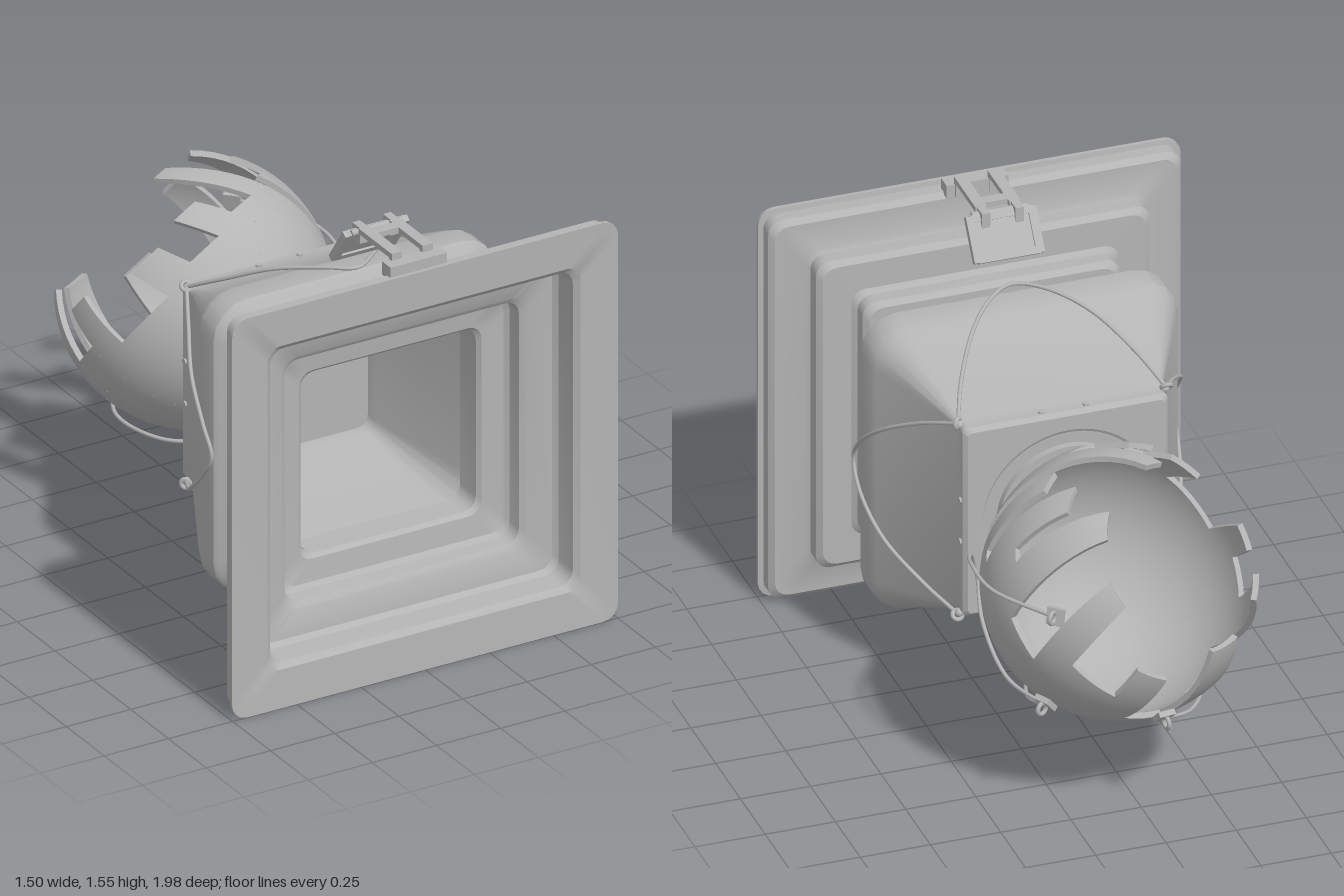
import * as THREE from 'three';
import { toCreasedNormals } from 'three/addons/utils/BufferGeometryUtils.js';

const grey = new THREE.MeshStandardMaterial({ color: 0xb4b4b4 });
grey.name = 'plain grey';
const V = (x, y, z) => new THREE.Vector3(x, y, z);
const rad = THREE.MathUtils.degToRad;

function add(parent, name, geometry, x = 0, y = 0, z = 0) {
  const mesh = new THREE.Mesh(geometry, grey);
  mesh.name = name;
  mesh.position.set(x, y, z);
  parent.add(mesh);
  return mesh;
}
const box = (parent, name, w, h, d, x, y, z) => add(parent, name, new THREE.BoxGeometry(w, h, d), x, y, z);
const wire = (parent, name, points, r = 0.007) =>
  add(parent, name, new THREE.TubeGeometry(new THREE.CatmullRomCurve3(points), 64, r, 8));

// Skin over rounded squares; each section is [half width, z, corner radius]
function loftSquares(sections, steps = 4) {
  const pos = [], index = [], n = 4 * (steps + 1);
  for (const [h, z, r] of sections) {
    for (let c = 0; c < 4; c++) {
      const mid = Math.PI / 4 + c * Math.PI / 2;
      const cx = Math.sign(Math.cos(mid)) * (h - r), cy = Math.sign(Math.sin(mid)) * (h - r);
      for (let s = 0; s <= steps; s++) {
        const a = (c + s / steps) * Math.PI / 2;
        pos.push(cx + r * Math.cos(a), cy + r * Math.sin(a), z);
      }
    }
  }
  for (let i = 0; i < sections.length - 1; i++) {
    for (let j = 0; j < n; j++) {
      const a = i * n + j, b = i * n + (j + 1) % n;
      index.push(a, b, b + n, a, b + n, a + n);
    }
  }
  const g = new THREE.BufferGeometry();
  g.setAttribute('position', new THREE.Float32BufferAttribute(pos, 3));
  g.setIndex(index);
  return toCreasedNormals(g, 0.55);
}

// Broken ball frame: the opening faces AXIS
const AXIS = V(-0.4, 0.62, -0.68).normalize();
const E1 = V(0, 1, 0).addScaledVector(AXIS, -AXIS.y).normalize();
const E2 = AXIS.clone().cross(E1);
const CENTRE = V(0, 0.757, -0.53);

// Curved shell patch between angles round the axis (phi) and from the axis (theta)
function shellPatch(phi0, phi1, theta0, theta1) {
  const nx = Math.max(2, Math.ceil((phi1 - phi0) / 5));
  const ny = Math.max(2, Math.ceil((theta1 - theta0) / 5));
  const g = new THREE.BoxGeometry(1, 1, 1, nx, ny, 1);
  const p = g.attributes.position, original = g.attributes.normal.clone();
  const dirs = [];
  for (let i = 0; i < p.count; i++) {
    const base = phi0 + (p.getX(i) + 0.5) * (phi1 - phi0);
    const theta = theta1 - (p.getY(i) + 0.5) * (theta1 - theta0);
    const swirl = 0.25 + 0.3 * Math.cos(rad(base - 20));
    const phi = rad(base - swirl * (90 - theta)), t = rad(theta);
    const d = AXIS.clone().multiplyScalar(Math.cos(t))
      .addScaledVector(E1, Math.sin(t) * Math.cos(phi))
      .addScaledVector(E2, Math.sin(t) * Math.sin(phi));
    dirs.push(d);
    const r = p.getZ(i) > 0 ? 0.47 : 0.45;
    p.setXYZ(i, d.x * r, d.y * r, d.z * r);
  }
  g.computeVertexNormals();
  dirs.forEach((d, i) => {
    const s = Math.round(original.getZ(i));
    if (s) g.attributes.normal.setXYZ(i, d.x * s, d.y * s, d.z * s);
  });
  return g;
}

function buildBall() {
  const ball = new THREE.Group();
  ball.name = 'brokenBall';
  ball.position.copy(CENTRE);
  add(ball, 'ballBowl', shellPatch(0, 360, 131, 180));
  // [start phi, rim theta]: low values are teeth, high values are notches
  const rim = [[5, 42], [18, 131], [25, 75], [36, 109], [42, 60], [56, 85], [62, 42], [78, 96],
    [98, 45], [112, 80], [135, 62], [150, 95], [170, 48], [190, 98], [218, 48], [236, 80],
    [255, 62], [270, 88], [300, 70], [318, 84], [335, 66], [350, 80], [365, 0]];
  for (let i = 0; i < rim.length - 1; i++) {
    if (rim[i][1] < 131) add(ball, 'ballTooth', shellPatch(rim[i][0], rim[i + 1][0], rim[i][1], 131));
  }
  return ball;
}

// Wire loops lying just off the ball, with a clamp at each end
function buildBallWires() {
  const g = new THREE.Group();
  g.name = 'ballWires';
  const on = ([x, y, z], r) => V(x, y, z).sub(CENTRE).setLength(r).add(CENTRE);
  const loops = [
    [[0.36, 0.87, -0.87], [0.47, 0.86, -0.61], [0.46, 0.845, -0.4], [0.39, 0.775, -0.26], [0.37, 0.68, -0.225],
      [0.4, 0.56, -0.3], [0.38, 0.455, -0.5], [0.33, 0.43, -0.7]],
    [[0.33, 0.43, -0.7], [0.33, 0.39, -0.55], [0.25, 0.36, -0.35], [0.1, 0.34, -0.19], [-0.05, 0.34, -0.19],
      [-0.2, 0.35, -0.35], [-0.26, 0.34, -0.58], [-0.18, 0.34, -0.75], [-0.05, 0.375, -0.88]],
  ];
  for (const l of loops) {
    wire(g, 'ballWire', l.map((q, i) => on(q, 0.49 + 0.025 * Math.sin(Math.PI * i / (l.length - 1)))));
  }
  for (const q of [loops[0][0], loops[1][0], loops[1][8]]) {
    const c = new THREE.Group();
    c.name = 'wireClamp';
    c.position.copy(on(q, 0.48));
    c.lookAt(on(q, 1));
    box(c, 'clampBase', 0.06, 0.06, 0.02, 0, 0, 0);
    add(c, 'clampEye', new THREE.TorusGeometry(0.02, 0.008, 8, 16), 0, 0, 0.025).rotation.y = Math.PI / 2;
    g.add(c);
  }
  return g;
}

// Clip standing on the upper edge of the flange
function buildLatch() {
  const g = new THREE.Group();
  g.name = 'latch';
  box(g, 'latchFoot', 0.22, 0.05, 0.055, 0, 1.5, 0.93);
  box(g, 'latchFrontBar', 0.16, 0.02, 0.04, 0, 1.54, 0.765 - 0.03);
  for (const s of [-1, 1]) {
    box(g, 'latchLeg', 0.04, 0.07, 0.02, s * 0.06, 1.515, 0.905);
    box(g, 'latchArm', 0.04, 0.02, 0.22, s * 0.06, 1.54, 0.805);
    box(g, 'latchHinge', 0.03, 0.06, 0.05, s * 0.06, 1.52, 0.67);
  }
  const flap = new THREE.Group();
  flap.name = 'latchFlap';
  flap.position.set(0, 1.465, 0.63);
  flap.rotation.x = -0.95;
  box(flap, 'flapPlate', 0.2, 0.01, 0.13, 0, 0, 0);
  for (const s of [-1, 1]) {
    box(flap, 'flapSide', 0.03, 0.025, 0.16, s * 0.11, 0, 0);
    box(flap, 'flapEnd', 0.22, 0.025, 0.025, 0, 0, s * 0.07);
  }
  g.add(flap);
  const pin = add(g, 'latchPin', new THREE.CylinderGeometry(0.012, 0.012, 0.2, 12), 0, 1.53, 0.68);
  pin.rotation.z = Math.PI / 2;
  return g;
}

export function createModel() {
  const model = new THREE.Group();
  model.name = 'steppedFunnelWithBall';
  const body = new THREE.Group();
  body.name = 'funnelBody';
  body.position.y = 0.752;
  model.add(body);

  // Hollow housing: outside from the back to the flange, then back down the inside
  add(body, 'housing', loftSquares([
    [0, 0.005, 0], [0.35, 0.005, 0.015], [0.365, 0.02, 0.02], [0.365, 0.075, 0.02],
    [0.535, 0.41, 0.12], [0.548, 0.44, 0.13], [0.548, 0.53, 0.13], [0.535, 0.545, 0.12],
    [0.36, 0.65, 0.05], [0.35, 0.66, 0.05], [0.35, 0.715, 0.05], [0.34, 0.73, 0.05], [0.34, 0.745, 0.05],
    [0.44, 0.747, 0.05], [0.458, 0.765, 0.05], [0.458, 0.815, 0.05], [0.475, 0.83, 0.05],
    [0.575, 0.832, 0.05], [0.594, 0.85, 0.05], [0.594, 0.905, 0.05], [0.61, 0.915, 0.05],
    [0.715, 0.917, 0.05], [0.734, 0.935, 0.05], [0.734, 0.983, 0.05], [0.752, 0.986, 0.06], [0.752, 1, 0.06],
    [0.61, 0.993, 0.05], [0.59, 0.975, 0.05], [0.584, 0.89, 0.05], [0.57, 0.872, 0.05],
    [0.475, 0.86, 0.05], [0.456, 0.845, 0.05], [0.45, 0.795, 0.05], [0.435, 0.78, 0.05],
    [0.355, 0.77, 0.05], [0.342, 0.755, 0.05], [0.336, 0.66, 0.05],
    [0.53, 0.535, 0.12], [0.53, 0.445, 0.12], [0.35, 0.08, 0.04], [0.345, 0.035, 0.04], [0, 0.035, 0],
  ]));

  // Round collar on the back
  const profile = [[0.25, 0], [0.25, 0.025], [0.27, 0.036], [0.295, 0.036], [0.31, 0.028], [0.31, 0.018],
    [0.3, 0.013], [0.31, 0.008], [0.31, -0.01]].map(([r, h]) => new THREE.Vector2(r, h));
  const collar = toCreasedNormals(new THREE.LatheGeometry(profile, 64), 0.6);
  const ring = add(body, 'backCollar', collar, 0, 0, 0);
  ring.rotation.x = -Math.PI / 2;
  ring.material = grey;

  // One wire loop, corner eyelet and pair of rivets on each of the four sides
  for (let k = 0; k < 4; k++) {
    const side = new THREE.Group();
    side.name = 'bodySide';
    side.rotation.z = k * Math.PI / 2;
    body.add(side);
    const half = [[0.37, 0.37, 0.05], [0.31, 0.445, 0.19], [0.21, 0.53, 0.355], [0.095, 0.565, 0.49]];
    wire(side, 'sideWire', [
      ...half.map(([u, v, z]) => V(u, v, z)), V(0, 0.566, 0.55),
      ...half.reverse().map(([u, v, z]) => V(-u, v, z))]);
    add(side, 'cornerEyelet', new THREE.TorusGeometry(0.017, 0.008, 8, 16), 0.372, 0.372, 0.05).rotation.y = Math.PI / 4;
    add(side, 'cornerPin', new THREE.SphereGeometry(0.016, 12, 8), 0.365, 0.365, 0.05);
    for (const s of [-1, 1]) {
      add(side, 'rivet', new THREE.CylinderGeometry(0.011, 0.011, 0.01, 12), s * 0.08, 0.367, 0.035);
    }
  }

  model.add(buildLatch(), buildBall(), buildBallWires());
  return model;
}
